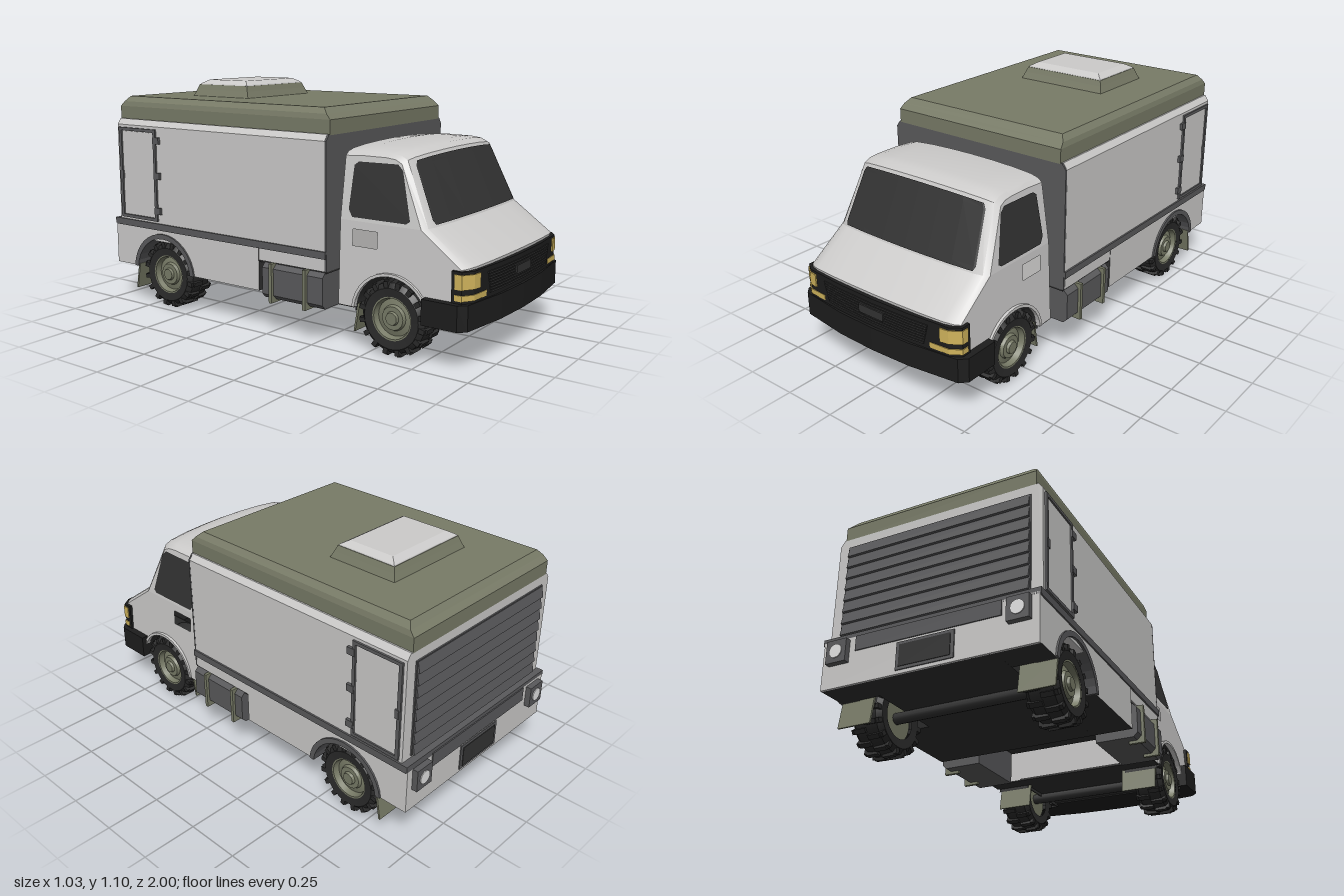
import * as THREE from 'three';
import { mergeGeometries, toCreasedNormals } from 'three/addons/utils/BufferGeometryUtils.js';

const mat = (name, color, side = THREE.FrontSide) => {
  const m = new THREE.MeshStandardMaterial({ color, side });
  m.name = name;
  return m;
};

export function createModel() {
  const body = mat('pale grey paint', 0xcccbca, THREE.DoubleSide);
  const olive = mat('olive paint', 0x787b67);
  const grey = mat('dark grey', 0x5a5a5c);
  const black = mat('black plastic', 0x1d1d1d);
  const glass = mat('dark glass', 0x333333, THREE.DoubleSide);
  const rubber = mat('rubber', 0x2a2a2a);
  const floorMat = mat('underside', 0x303030, THREE.DoubleSide);
  const yellow = mat('yellow lamp', 0xd0b45c);
  const lamp = mat('clear lamp', 0xe4e4e4);

  const truck = new THREE.Group();
  truck.name = 'truck';
  const add = (name, geo, m, parent = truck) => {
    const mesh = new THREE.Mesh(geo, m);
    mesh.name = name;
    parent.add(mesh);
    return mesh;
  };
  const V = (p) => new THREE.Vector2(p[0], p[1]);
  const shapeOf = (pts, holes = []) => {
    const s = new THREE.Shape(pts.map(V));
    holes.forEach((h) => s.holes.push(new THREE.Path(h.map(V))));
    return s;
  };
  const rect = (a0, a1, b0, b1) => [[a0, b0], [a1, b0], [a1, b1], [a0, b1]];
  const arc = (cz, cy, r, a0, a1, n = 16) => Array.from({ length: n + 1 }, (_, i) => {
    const a = a0 + (a1 - a0) * i / n;
    return [cz + r * Math.cos(a), cy + r * Math.sin(a)];
  });
  // box by its limits
  const box = (x0, x1, y0, y1, z0, z1) =>
    new THREE.BoxGeometry(x1 - x0, y1 - y0, z1 - z0).translate((x0 + x1) / 2, (y0 + y1) / 2, (z0 + z1) / 2);
  // box on one side, between two distances from the middle
  const sideBox = (s, x0, x1, ...r) => box(Math.min(s * x0, s * x1), Math.max(s * x0, s * x1), ...r);
  // (z, y) outline extruded across x on one side
  const extrudeX = (s, pts, x0, x1, holes) =>
    new THREE.ExtrudeGeometry(shapeOf(pts, holes), { depth: x1 - x0, bevelEnabled: false })
      .rotateY(-Math.PI / 2).translate(s > 0 ? x1 : -x0, 0, 0);
  // (x, z) plan extruded upward
  const extrudeY = (pts, y0, y1) =>
    new THREE.ExtrudeGeometry(shapeOf(pts.map(([x, z]) => [x, -z])), { depth: y1 - y0, bevelEnabled: false })
      .rotateX(-Math.PI / 2).translate(0, y0, 0);
  const mirrorPlan = (half) => [...half, ...half.filter((p) => p[0] > 0).reverse().map(([x, z]) => [-x, z])];
  const flat = (pos, index) => {
    const g = new THREE.BufferGeometry();
    g.setAttribute('position', new THREE.Float32BufferAttribute(pos, 3));
    g.setIndex(index);
    const out = g.toNonIndexed();
    out.computeVertexNormals();
    return out;
  };
  // stacked rectangles [y, halfWidth, zBack, zFront], closed on top
  const loft = (rings) => {
    const pos = [], idx = [];
    rings.forEach(([y, h, z0, z1]) => pos.push(h, y, z1, h, y, z0, -h, y, z0, -h, y, z1));
    for (let r = 0; r < rings.length - 1; r++) for (let k = 0; k < 4; k++) {
      const a = r * 4 + k, b = r * 4 + (k + 1) % 4;
      idx.push(a, b, b + 4, a, b + 4, a + 4);
    }
    const t = (rings.length - 1) * 4;
    idx.push(t, t + 1, t + 2, t, t + 2, t + 3);
    return flat(pos, idx);
  };
  // grid surface from a point function
  const grid = (ss, us, fn) => {
    const pos = [], idx = [], n = us.length;
    ss.forEach((s) => us.forEach((u) => pos.push(...fn(s, u))));
    for (let i = 0; i < ss.length - 1; i++) for (let j = 0; j < n - 1; j++) {
      const a = i * n + j;
      idx.push(a, a + n, a + n + 1, a, a + n + 1, a + 1);
    }
    return flat(pos, idx);
  };

  // ---- cab skin: middle and edge profiles (z, y) joined by a curved strip
  const mid = [[.35, .86], [.44, .868], [.58, .866], [.63, .86], [.665, .842], [.79, .562], [.972, .43], [.955, .29]];
  const edge = [[.35, .82], [.44, .825], [.55, .825], [.595, .82], [.625, .805], [.74, .555], [.925, .42], [.91, .29]];
  const halfW = (y) => (y < .555 ? .44 - .015 * (y - .19) / .365 : .425 - .04 * (y - .555) / .27);
  const uCols = [0, .3, .6, .85, .95, 1], drop = [0, .04, .15, .35, .6, 1];
  const lerp = THREE.MathUtils.lerp;
  const cabPoint = (s, u, off = 0) => {
    const i = Math.min(Math.floor(s), mid.length - 2), f = s - i, au = Math.abs(u);
    let k = 0;
    while (k < 4 && au > uCols[k + 1]) k++;
    const t = lerp(drop[k], drop[k + 1], (au - uCols[k]) / (uCols[k + 1] - uCols[k]));
    const at = (c) => lerp(lerp(mid[i][c], mid[i + 1][c], f), lerp(edge[i][c], edge[i + 1][c], f), t);
    const w = halfW(lerp(edge[i][1], edge[i + 1][1], f));
    return [u * w, at(1) + off * .4, at(0) + off * .9];
  };
  const mirrored = (a) => [...a.slice(1).reverse().map((v) => -v), ...a];
  add('cabShell', toCreasedNormals(grid(mid.map((_, i) => i), mirrored(uCols), cabPoint), .45), body);
  add('windshield', grid([4.05, 4.12, 4.9, 4.97], mirrored([0, .3, .6, .85, .87]),
    (s, u) => cabPoint(s, u * (s < 4.1 || s > 4.95 ? .98 : 1.01), .005)), glass);

  // flat outline laid on the cab side
  const onSide = (s, pts, off = 0, holes) => {
    const g = new THREE.ShapeGeometry(shapeOf(pts, holes)), p = g.attributes.position;
    for (let i = 0; i < p.count; i++) {
      const z = p.getX(i), y = p.getY(i);
      p.setXYZ(i, s * (halfW(y) + off), y, z);
    }
    g.computeVertexNormals();
    return g;
  };
  const FZ = .61, RZ = -.645, WY = .17;
  const lowerSide = [[.35, .19], [.35, .555], [.74, .555], [.925, .42], [.91, .19], ...arc(FZ, WY, .18, .11, Math.PI - .11)];
  const upperSide = [[.35, .555], ...edge.slice(0, 6)];
  const windowPts = [[.41, .57], [.67, .57], [.688, .582], [.635, .78], [.61, .803], [.42, .8], [.4, .785], [.39, .6]];
  for (const s of [1, -1]) {
    add('cabSideLower', onSide(s, lowerSide, 0, [rect(.415, .535, .45, .52)]), body);
    add('cabSideUpper', onSide(s, upperSide), body);
    add('sideWindow', onSide(s, windowPts, .004), glass);
    add('frontArchLip', extrudeX(s, [...arc(FZ, WY, .19, .11, Math.PI - .11), ...arc(FZ, WY, .177, Math.PI - .11, .11)], .425, .447), body);
    const liner = new THREE.CylinderGeometry(.18, .18, .16, 20, 1, true, 0, Math.PI).rotateZ(Math.PI / 2);
    add('frontWheelWell', liner.translate(s * .35, WY, FZ), floorMat);
    add('frontWheelWellInner', sideBox(s, .265, .27, .17, .35, FZ - .18, FZ + .18), floorMat);
  }
  add('cabBack', new THREE.ShapeGeometry(shapeOf([[-.44, .19], [.44, .19], [.425, .555], [.385, .82], [.32, .845], [0, .86], [-.32, .845], [-.385, .82], [-.425, .555]]))
    .translate(0, 0, .351), body);
  add('cabFloor', mergeGeometries([box(-.27, .27, .185, .195, .35, .92), box(-.438, .438, .185, .195, .352, .43), box(-.438, .438, .185, .195, .79, .92)]), floorMat);

  // ---- nose: bumper, fascia, grille, lamps
  add('frontBumper', extrudeY(mirrorPlan([[.47, .77], [.47, .93], [.44, .962], [.2, .993], [0, 1]]), .18, .288), black);
  add('fascia', extrudeY(mirrorPlan([[.445, .89], [.445, .935], [.4, .965], [.2, .983], [0, .988]]), .28, .417), black);
  for (let i = 0; i < 8; i++) {
    const w = .278 + i * .003;
    add('grilleSlat', extrudeY(mirrorPlan([[w, .95], [w, .98], [.2, .988], [0, .993]]), .306 + i * .0117, .314 + i * .0117), rubber);
  }
  add('grillePlate', box(-.07, .07, .338, .375, .97, .997), glass);
  for (const s of [1, -1]) {
    const wrap = (x) => [[x, .95], [x, .975], [.402, .969], [.449, .938], [.449, .905], [.43, .905]].map(([a, z]) => [s * a, z]);
    add('headlamp', extrudeY(wrap(.36), .345, .405), yellow);
    add('indicator', extrudeY(wrap(.307), .299, .323), yellow);
  }

  // ---- cargo box and roof
  const wall = [[-.485, .33], [.485, .33], [.485, .885], [.465, .912], [-.465, .912], [-.485, .885]];
  add('cargoBox', new THREE.ExtrudeGeometry(shapeOf(wall), { depth: 1.25, bevelEnabled: false }).translate(0, 0, -.94), body);
  add('cargoFront', new THREE.ExtrudeGeometry(shapeOf(wall), { depth: .008, bevelEnabled: false }).translate(0, 0, .311), grey);
  add('cargoFloor', box(-.48, .48, .322, .33, -.05, .318), floorMat);
  add('roof', loft([[.908, .458, -.942, .32], [.972, .458, -.942, .32], [.995, .452, -.92, .297], [1.02, .43, -.9, .27]]), olive);
  add('hatchBase', loft([[1.018, .235, -.665, -.315], [1.05, .222, -.652, -.33], [1.075, .213, -.643, -.34]]), olive);
  add('hatchTop', loft([[1.074, .211, -.641, -.342], [1.08, .208, -.638, -.345], [1.098, .178, -.605, -.375]]), body);

  // ---- rear shutter
  add('shutter', box(-.435, .435, .43, .865, -.946, -.93), grey);
  for (let i = 0; i < 8; i++)
    add('shutterSlat', new THREE.BoxGeometry(.86, .05, .01).rotateX(.2).translate(0, .458 + i * .054, -.948), grey);

  // ---- lower body with rear arches, rails and doors
  const skirt = [[-.05, .19], [-.05, .388], [-.965, .388], [-.965, .19], ...arc(RZ, WY, .185, Math.PI - .11, .11)];
  const sill = .11;
  for (const s of [1, -1]) {
    add('skirt', extrudeX(s, skirt, .3, .487), [body, floorMat]);
    add('rail', sideBox(s, .44, .493, .386, .418, -.965, .318), grey);
    add('rearArchFlare', extrudeX(s, [...arc(RZ, WY, .2, sill, Math.PI - sill), ...arc(RZ, WY, .176, Math.PI - sill, sill)], .4, .495), grey);
    add('sideDoorFrame', extrudeX(s, rect(-.925, -.677, .428, .872), .48, .494, [rect(-.908, -.692, .443, .857)]), grey);
    add('sideDoor', sideBox(s, .48, .489, .445, .855, -.905, -.695), body);
    for (const y of [.48, .65, .82]) add('doorHinge', sideBox(s, .48, .498, y - .016, y + .016, -.69, -.652), grey);
    add('doorHandle', sideBox(s, .485, .497, .62, .66, -.918, -.9), grey);

    // side tank with straps
    const tank = [[.3, .165], [.48, .165], [.5, .185], [.5, .305], [.48, .325], [.3, .325]].map(([x, y]) => [s * x, y]);
    add('sideTank', new THREE.ExtrudeGeometry(shapeOf(tank), { depth: .33, bevelEnabled: false }).translate(0, 0, -.02), grey);
    for (const z of [.035, .22]) add('tankStrap', sideBox(s, .44, .514, .152, .33, z - .008, z + .008), olive);

    // rear lamp
    add('rearLampHousing', sideBox(s, .36, .455, .29, .39, -.998, -.96), grey);
    add('rearLamp', new THREE.CylinderGeometry(.03, .03, .006, 16).rotateX(Math.PI / 2).translate(s * .408, .34, -.999), lamp);
  }
  add('underbody', box(-.3, .3, .19, .388, -.965, -.05), floorMat);
  add('rearPanel', box(-.487, .487, .19, .4, -.972, -.962), body);
  add('rearStep', box(-.493, .493, .39, .418, -.972, -.93), grey);
  add('rearStrip', box(-.33, .33, .335, .4, -.977, -.968), grey);
  add('rearPlate', box(-.13, .13, .205, .325, -.977, -.968), grey);
  add('rearPlateInset', box(-.115, .115, .218, .312, -.98, -.975), glass);

  // ---- wheels and mud flaps
  const lathe = (pts, n) => toCreasedNormals(new THREE.LatheGeometry(pts.map(V), n).rotateZ(-Math.PI / 2), .6);
  const tyreGeo = lathe([[.09, -.068], [.13, -.072], [.15, -.052], [.155, 0], [.15, .052], [.13, .072], [.094, .068]], 32);
  const rimGeo = lathe([[0, -.05], [.097, -.05], [.097, .066], [.088, .066], [.08, .04], [.056, .046], [.05, .06], [.03, .06], [.026, .072], [0, .072]], 28);
  const lugs = [];
  for (let i = 0; i < 32; i++) {
    const side = i % 2 ? 1 : -1;
    lugs.push(new THREE.BoxGeometry(.056, .022, .021).translate(side * .028, .154, 0).rotateX(i * Math.PI / 16));
    lugs.push(new THREE.BoxGeometry(.014, .03, .021).translate(side * .063, .143, 0).rotateX(i * Math.PI / 16));
  }
  const lugGeo = mergeGeometries(lugs);
  for (const [z, x, fx0, fx1, fz, name] of [[FZ, .363, .25, .42, .43, 'front'], [RZ, .395, .33, .487, -.83, 'rear']]) {
    for (const s of [1, -1]) {
      const wheel = new THREE.Group();
      wheel.name = name + 'Wheel';
      wheel.position.set(s * x, .166, z);
      wheel.rotation.y = s > 0 ? 0 : Math.PI;
      add('tyre', tyreGeo, rubber, wheel);
      add('treadLugs', lugGeo, rubber, wheel);
      add('rim', rimGeo, olive, wheel);
      truck.add(wheel);
      add(name + 'MudFlap', extrudeX(s, [[fz + .006, .2], [fz + .016, .2], [fz - .006, .075], [fz - .014, .075]], fx0, fx1), olive);
    }
    add(name + 'Axle', new THREE.CylinderGeometry(.025, .025, .7, 12).rotateZ(Math.PI / 2).translate(0, .166, z), floorMat);
  }
  return truck;
}
